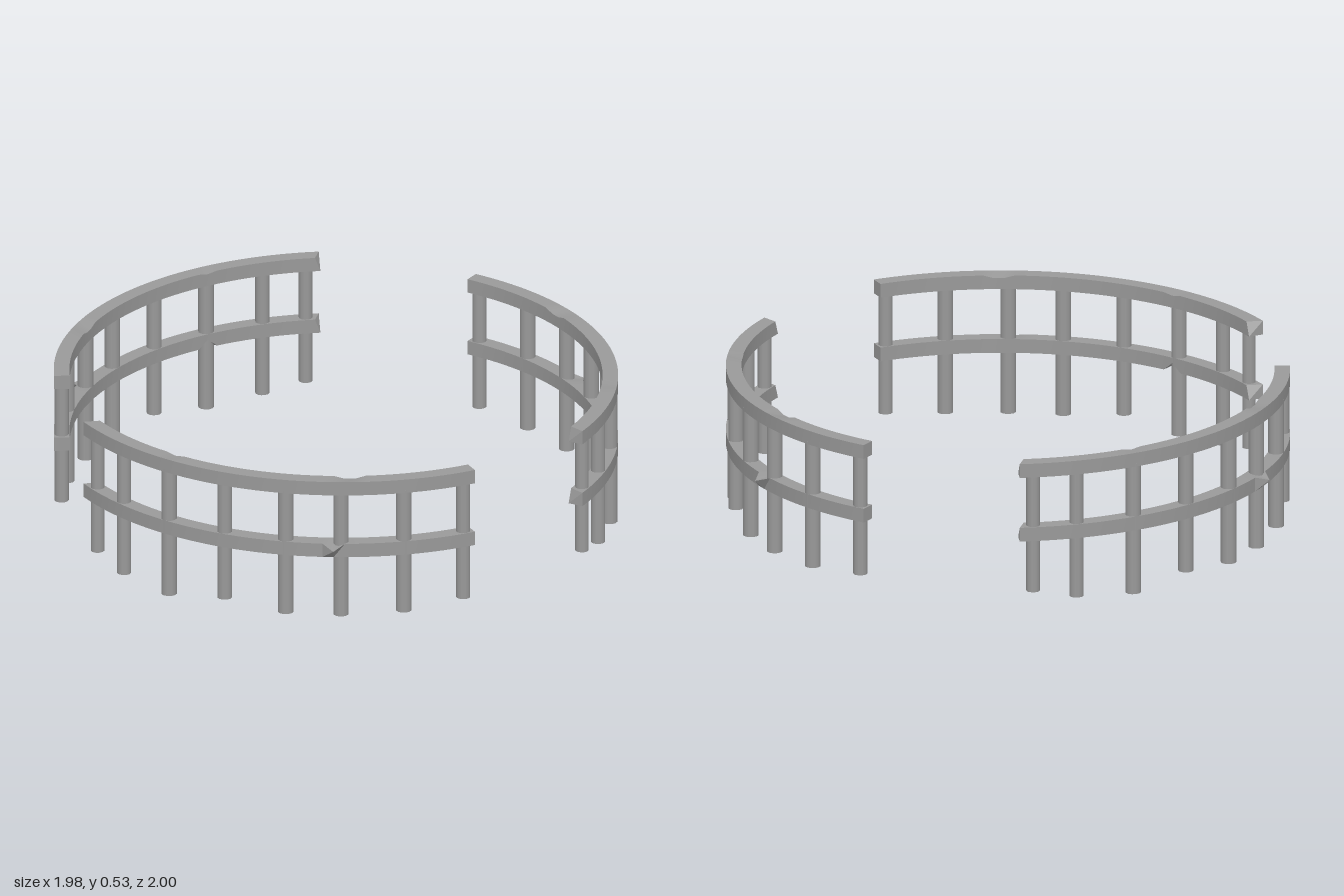
import * as THREE from 'three';
import { toCreasedNormals } from 'three/addons/utils/BufferGeometryUtils.js';

const DEG = Math.PI / 180;
const START = -45.9, END = 40.6;   // arc of one fence section, in degrees from +z towards +x
const SEGMENTS = 40;
const HEIGHT = 0.05, DEPTH = 0.054;

// [angle, radius, bottom] of each post
const POSTS = [
  [-43.6, 0.024, 0.06], [-34.8, 0.025, 0.03], [-22.6, 0.0275, 0.015], [-9.8, 0.0265, 0.05],
  [2.9, 0.0275, 0.025], [13.9, 0.0275, 0.025], [26.4, 0.0275, 0.03], [38.8, 0.025, 0.05],
];

// A bar bent along the unit circle; chip(index, top, outer) returns [dy, dr] for a corner
function railGeometry(chip) {
  const geometry = new THREE.BoxGeometry(1, HEIGHT, DEPTH, SEGMENTS, 1, 1);
  const p = geometry.attributes.position;
  for (let i = 0; i < p.count; i++) {
    const t = p.getX(i) + 0.5;
    const index = Math.round(t * SEGMENTS);
    const top = p.getY(i) > 0, outer = p.getZ(i) > 0;
    const [dy, dr] = chip(index, top, outer);
    let angle = START + (END - START) * t;
    if (index === 0) angle += top && !outer ? 0.6 : -0.5;   // broken inner corner at the end
    const r = 1 + p.getZ(i) + dr;
    p.setXYZ(i, Math.sin(angle * DEG) * r, p.getY(i) + dy, Math.cos(angle * DEG) * r);
  }
  return toCreasedNormals(geometry, 0.4);
}

// Chipped inner edge on the top rail
const topChip = (i, top, outer) => {
  if (top && !outer && (i === 28 || i === 29)) return [-0.01, 0];
  if (top && !outer && i === 11) return [-0.006, 0];
  return [0, 0];
};

// Splinter standing out of the lower rail, and a notch under its inner edge
const lowerChip = (i, top, outer) => {
  if (i === 27 && top && outer) return [-0.015, 0.036];
  if (i === 11 && !top && !outer) return [0.03, 0];
  return [0, 0];
};

function fenceSection(material) {
  const section = new THREE.Group();
  const addRail = (name, y, chip) => {
    const rail = new THREE.Mesh(railGeometry(chip), material);
    rail.name = name;
    rail.position.y = y;
    section.add(rail);
  };
  addRail('topRail', 0.505, topChip);
  addRail('lowerRail', 0.273, lowerChip);

  // Uneven posts reaching up into the top rail
  for (const [angle, radius, bottom] of POSTS) {
    const top = 0.49;
    const post = new THREE.Mesh(new THREE.CylinderGeometry(radius, radius, top - bottom, 12), material);
    post.name = 'post';
    post.position.set(Math.sin(angle * DEG), (top + bottom) / 2, Math.cos(angle * DEG));
    section.add(post);
  }
  return section;
}

export function createModel() {
  const model = new THREE.Group();
  model.name = 'ringFence';
  const material = new THREE.MeshStandardMaterial({ color: 0x999999 });

  // Three sections around the ring: name, turn, offset
  const sections = [
    ['frontFence', 0, 0.02, 0, -0.043],
    ['leftFence', 122.3, -0.04, -0.015, 0.035],
    ['rightFence', -113, 0.05, -0.015, -0.04],
  ];
  for (const [name, turn, x, y, z] of sections) {
    const section = fenceSection(material);
    section.name = name;
    section.rotation.y = turn * DEG;
    section.position.set(x, y, z);
    model.add(section);
  }
  return model;
}
